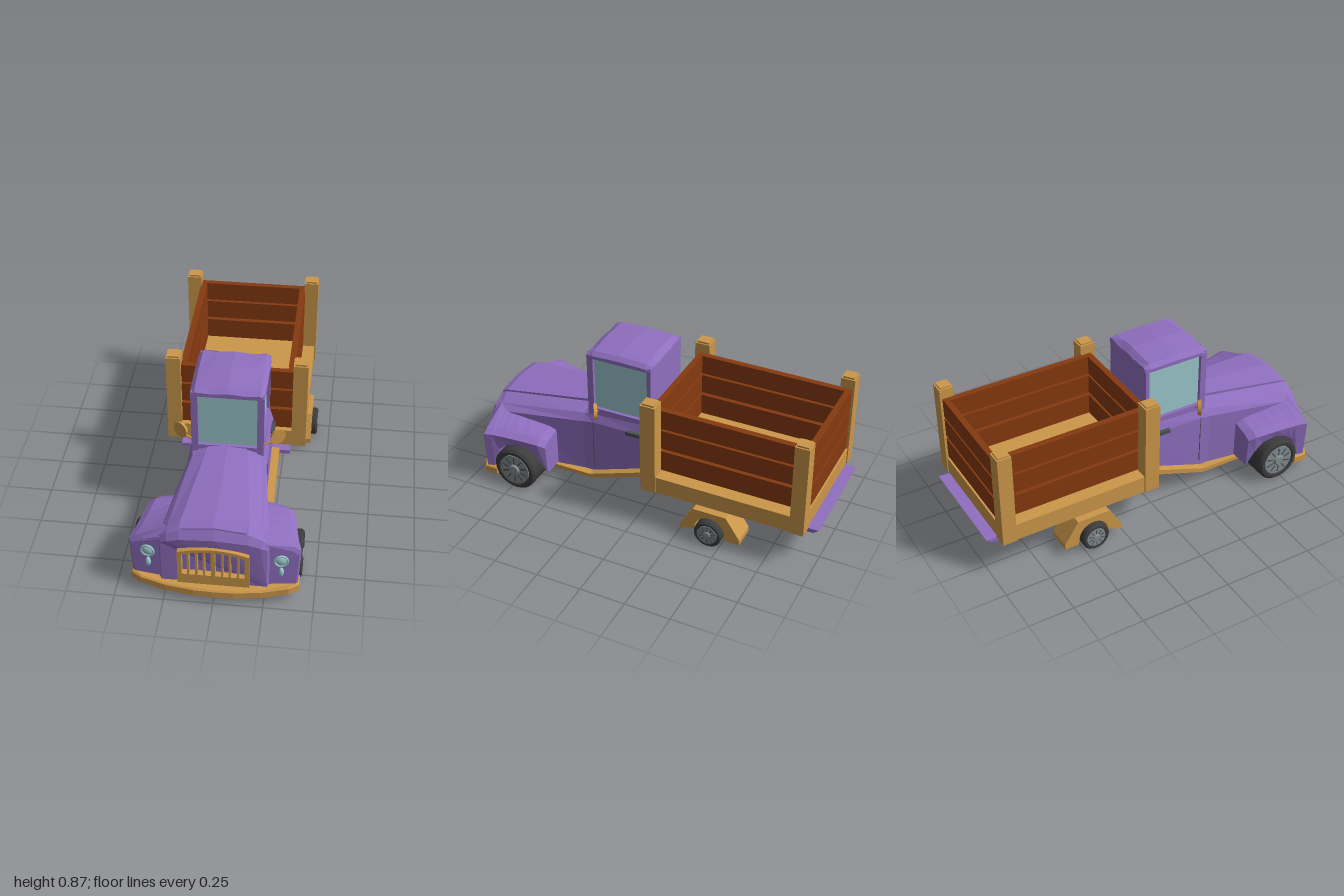
import * as THREE from 'three';

const paint = (name, color) => Object.assign(new THREE.MeshStandardMaterial({ color }), { name });

export function createModel() {
  const truck = new THREE.Group();
  truck.name = 'truck';
  const purple = paint('purple paint', 0x8f6fbf);
  const orange = paint('ochre trim', 0xcc974a);
  const brown = paint('brown wood', 0x863a10);
  const glass = paint('glass', 0x9cc8ce);
  const rubber = paint('tyre rubber', 0x3d3d3d);
  const steel = paint('wheel steel', 0x848d91);
  const dark = paint('dark metal', 0x4c4f54);

  const add = (name, geo, mat, x = 0, y = 0, z = 0, parent = truck) => {
    const m = new THREE.Mesh(geo, mat);
    m.name = name;
    m.position.set(x, y, z);
    parent.add(m);
    return m;
  };
  // box given by its limits
  const box = (name, mat, x0, x1, y0, y1, z0, z1) =>
    add(name, new THREE.BoxGeometry(Math.abs(x1 - x0), y1 - y0, Math.abs(z1 - z0)), mat,
      (x0 + x1) / 2, (y0 + y1) / 2, (z0 + z1) / 2);

  // faceted skin over counter-clockwise loops [x, y, dz], ordered by rising z
  const loft = (sections, side = 1) => {
    const loops = sections.map(([z, pts]) => {
      const l = pts.map(([x, y, dz = 0]) => [x * side, y, z + dz]);
      return side < 0 ? l.reverse() : l;
    });
    const v = [], n = loops[0].length, tri = (...p) => p.forEach(q => v.push(...q));
    for (let s = 0; s + 1 < loops.length; s++) {
      for (let i = 0; i < n; i++) {
        const j = (i + 1) % n, a = loops[s], b = loops[s + 1];
        tri(a[i], a[j], b[j]);
        tri(a[i], b[j], b[i]);
      }
    }
    const back = loops[0], front = loops[loops.length - 1];
    for (let i = 1; i + 1 < n; i++) {
      tri(back[0], back[i + 1], back[i]);
      tri(front[0], front[i], front[i + 1]);
    }
    const g = new THREE.BufferGeometry();
    g.setAttribute('position', new THREE.Float32BufferAttribute(v, 3));
    g.computeVertexNormals();
    return g;
  };
  // full loop from a half outline running from top centre to the bottom right
  const both = half => [...half].reverse().concat(half.slice(1).map(([x, y, dz = 0]) => [-x, y, dz]));

  const polygon = pts => new THREE.Shape(pts.map(p => new THREE.Vector2(...p)));
  // side outline in (z, y), spanning x0 to x1
  const sidePlate = (shape, x0, x1) =>
    new THREE.ExtrudeGeometry(shape, { depth: x1 - x0, bevelEnabled: false, curveSegments: 10 })
      .rotateY(-Math.PI / 2).translate(x1, 0, 0);

  // lower cab, hood and nose
  add('body', loft([
    [0, both([[0, 0.5], [0.1, 0.5], [0.185, 0.485], [0.205, 0.42], [0.2, 0.2]])],
    [0.34, both([[0, 0.5], [0.1, 0.495], [0.185, 0.47], [0.205, 0.42], [0.2, 0.09]])],
    [0.4, both([[0, 0.485], [0.11, 0.478], [0.18, 0.45], [0.205, 0.41], [0.2, 0.09]])],
    [0.9, both([[0, 0.455], [0.17, 0.44], [0.235, 0.405], [0.27, 0.375], [0.27, 0.09]])],
    [0.935, both([[0, 0.445], [0.17, 0.425], [0.235, 0.395], [0.275, 0.365, -0.01], [0.275, 0.085, -0.01]])],
    [0.965, both([[0, 0.395], [0.17, 0.38, -0.005], [0.23, 0.36, -0.01], [0.265, 0.34, -0.02], [0.265, 0.085, -0.02]])],
  ]), purple);
  add('hoodPanel', loft([
    [0.37, both([[0, 0.504], [0.1, 0.496], [0.1, 0.46]])],
    [0.9, both([[0, 0.468], [0.165, 0.451], [0.165, 0.42]])],
    [0.935, both([[0, 0.452], [0.16, 0.434], [0.16, 0.42]])],
  ]), purple);

  // cab: glass core, back wall, pillars, curved roof
  add('cabGlass', new THREE.BoxGeometry(0.335, 0.34, 0.325), glass, 0, 0.655, 0.185);
  box('cabBackWall', purple, -0.185, 0.185, 0.48, 0.835, 0, 0.022);
  box('dashLedge', purple, -0.18, 0.18, 0.475, 0.502, 0.33, 0.368);
  for (const s of [-1, 1]) {
    box('frontPillar', purple, s * 0.152, s * 0.187, 0.46, 0.835, 0.338, 0.373);
    box('windowSill', purple, s * 0.15, s * 0.187, 0.46, 0.505, 0.01, 0.36);
  }
  const roof = (z, w, edge, top) => [z, both([[0, top], [w * 0.5, top - 0.008], [w * 0.88, edge + 0.012], [w, edge - 0.008], [w, 0.815]])];
  add('roof', loft([
    roof(-0.003, 0.186, 0.828, 0.838), roof(0.03, 0.19, 0.84, 0.863), roof(0.19, 0.191, 0.845, 0.874),
    roof(0.34, 0.19, 0.84, 0.864), roof(0.376, 0.189, 0.828, 0.842),
  ]), purple);

  // front fenders, arched over the wheels
  const wheelZ = 0.723, wheelY = 0.127;
  const fenderRows = [ // z, outer x, outer top, inner top
    [0.56, 0.355, 0.275, 0.315], [0.6, 0.375, 0.295, 0.335], [0.65, 0.383, 0.3, 0.345], [0.723, 0.393, 0.305, 0.36],
    [0.79, 0.403, 0.31, 0.375], [0.83, 0.41, 0.312, 0.385], [0.862, 0.418, 0.315, 0.395], [0.9, 0.428, 0.315, 0.405], [0.94, 0.418, 0.295, 0.375]];
  const fender = fenderRows.map(([z, x, yo, yi], i) => {
    const d = 0.139 ** 2 - (z - wheelZ) ** 2;
    const yb = d > 0 ? wheelY + Math.sqrt(d) : 0.1;
    const dz = i === fenderRows.length - 1 ? -0.03 : 0;
    return [z, [[0.19, yb], [x - 0.012, yb, dz], [x, yo, dz], [x - 0.035, yo + 0.022, dz], [0.235, yi], [0.19, yi]]];
  });

  // wheel with its axle along x; side picks the outer face
  const wheel = (name, r, w, side, x, y, z) => {
    const g = new THREE.Group();
    g.name = name;
    const h = w / 2, c = r * 0.1;
    const tyre = [[0, -h], [r - c, -h], [r, -h + c], [r, h - c], [r - c, h], [r * 0.76, h], [r * 0.72, h - c], [0, h - c]];
    const flat = new THREE.LatheGeometry(tyre.map(p => new THREE.Vector2(...p)), 28).toNonIndexed();
    flat.computeVertexNormals();
    add('tyre', flat, rubber, 0, 0, 0, g);
    add('rim', new THREE.CylinderGeometry(r * 0.7, r * 0.7, c, 28), steel, 0, h - c * 0.8, 0, g);
    add('hubCap', new THREE.CylinderGeometry(r * 0.2, r * 0.26, c, 16), steel, 0, h + c * 0.1, 0, g);
    for (let i = 0; i < 10; i++) {
      const a = i * Math.PI / 5;
      const slot = add('rimSlot', new THREE.BoxGeometry(r * 0.32, 0.004, r * 0.06), dark,
        Math.cos(a) * r * 0.46, h - c * 0.3, -Math.sin(a) * r * 0.46, g);
      slot.rotation.y = a;
    }
    g.rotation.z = -side * Math.PI / 2;
    g.position.set(x, y, z);
    truck.add(g);
  };

  const rearFender = polygon([[-0.27, 0.05], [-0.27, 0.075], [-0.345, 0.2], [-0.53, 0.2], [-0.61, 0.08], [-0.61, 0.05], [-0.53, 0.05]]);
  rearFender.absarc(-0.44, 0.08, 0.085, Math.PI, 0, true);
  const runningBoard = polygon([[-0.02, 0.195], [0.34, 0.072], [0.6, 0.072], [0.6, 0.095], [0.35, 0.095], [0, 0.218]]);

  for (const s of [-1, 1]) {
    const span = (a, b) => s > 0 ? [a, b] : [-b, -a];
    add('frontFender', loft(fender, s), purple);
    wheel('frontWheel', 0.126, 0.18, s, s * 0.338, wheelY, wheelZ);
    wheel('rearWheel', 0.077, 0.09, s, s * 0.385, 0.08, -0.44);
    add('rearFender', sidePlate(rearFender, ...span(0.27, 0.4)), orange);
    add('runningBoard', sidePlate(runningBoard, ...span(0.17, 0.243)), orange);
    box('doorHandle', dark, s * 0.2, s * 0.222, 0.41, 0.43, 0.04, 0.135);
    box('doorSeam', dark, s * 0.2, s * 0.2055, 0.13, 0.42, 0.338, 0.341);

    // headlight and marker light
    const ring = add('headlightRing', new THREE.TorusGeometry(0.032, 0.006, 8, 24), glass, s * 0.332, 0.265, 0.932);
    const lens = add('headlightLens', new THREE.SphereGeometry(0.031, 20, 12), glass, s * 0.332, 0.265, 0.925);
    lens.scale.z = 0.5;
    const marker = add('markerLight', new THREE.SphereGeometry(0.014, 14, 10), glass, s * 0.332, 0.186, 0.925);
    marker.scale.y = 2;
    ring.rotation.y = lens.rotation.y = s * 0.15;

    // side mirror on its arm
    const disc = new THREE.CylinderGeometry(0.043, 0.038, 0.018, 20).rotateX(Math.PI / 2);
    const mirror = add('mirror', disc, orange, s * 0.252, 0.535, 0.295);
    mirror.rotation.y = s * 0.55;
    mirror.scale.y = 1.06;
    const arm = new THREE.LineCurve3(new THREE.Vector3(s * 0.18, 0.49, 0.32), new THREE.Vector3(s * 0.245, 0.52, 0.305));
    add('mirrorArm', new THREE.TubeGeometry(arm, 1, 0.006, 8), orange);
  }
  for (const z of [-0.39, -0.49]) box('rearAxleBar', orange, -0.28, 0.28, 0.08, 0.11, z - 0.015, z + 0.015);

  // grille with eight slots under an arched top
  const grille = new THREE.Shape();
  grille.moveTo(-0.178, 0.112);
  grille.lineTo(0.178, 0.112);
  grille.lineTo(0.178, 0.315);
  grille.quadraticCurveTo(0, 0.376, -0.178, 0.315);
  for (const s of [-1, 1]) {
    for (const [a, b, top] of [[0.01, 0.04, 0.329], [0.05, 0.077, 0.325], [0.088, 0.118, 0.319], [0.129, 0.156, 0.306]]) {
      grille.holes.push(new THREE.Path([[a, 0.172], [b, 0.172], [b, top - 0.004], [a, top]].map(([x, y]) => new THREE.Vector2(s * x, y))));
    }
  }
  add('grille', new THREE.ExtrudeGeometry(grille, { depth: 0.035, bevelEnabled: false }), orange, 0, 0, 0.944);

  // bumper bent around the nose
  const bumper = polygon([[-0.415, 0.85], [-0.25, 0.87], [0.25, 0.87], [0.415, 0.85], [0.415, 0.91], [0.37, 0.94],
    [0.24, 0.968], [0.1, 0.988], [0, 0.992], [-0.1, 0.988], [-0.24, 0.968], [-0.37, 0.94], [-0.415, 0.91]]);
  const bumperGeo = new THREE.ExtrudeGeometry(bumper, { depth: 0.036, bevelThickness: 0.008, bevelSize: 0.008, bevelOffset: 0, bevelSegments: 1 })
    .rotateX(Math.PI / 2);
  const bp = bumperGeo.attributes.position;
  for (let i = 0; i < bp.count; i++) if (Math.abs(bp.getX(i)) > 0.3) bp.setY(i, bp.getY(i) + 0.013); // raised ends
  bumperGeo.computeVertexNormals();
  add('bumper', bumperGeo, orange, 0, 0.08, 0);

  // rear chassis plate and bed
  add('chassisPlate', sidePlate(polygon([[0.01, 0.187], [-0.97, 0.187], [-1, 0.21], [0.01, 0.21]]), -0.3, 0.3), purple);
  box('bedFloor', orange, -0.375, 0.375, 0.215, 0.312, -0.94, -0.035);
  for (const s of [-1, 1]) {
    for (const [z0, z1] of [[-0.118, -0.033], [-0.945, -0.868]]) {
      box('bedPost', orange, s * 0.303, s * 0.382, 0.215, 0.745, z0, z1);
      box('postCap', orange, s * 0.311, s * 0.374, 0.745, 0.755, z0 + 0.008, z1 - 0.008);
    }
  }
  for (const [y0, y1] of [[0.318, 0.438], [0.456, 0.567], [0.58, 0.69]]) {
    for (const s of [-1, 1]) box('sidePlank', brown, s * 0.273, s * 0.307, y0, y1, -0.9, -0.09);
    box('frontPlank', brown, -0.307, 0.307, y0, y1, -0.09, -0.058);
    box('backPlank', brown, -0.307, 0.307, y0, y1, -0.932, -0.9);
  }
  return truck;
}
